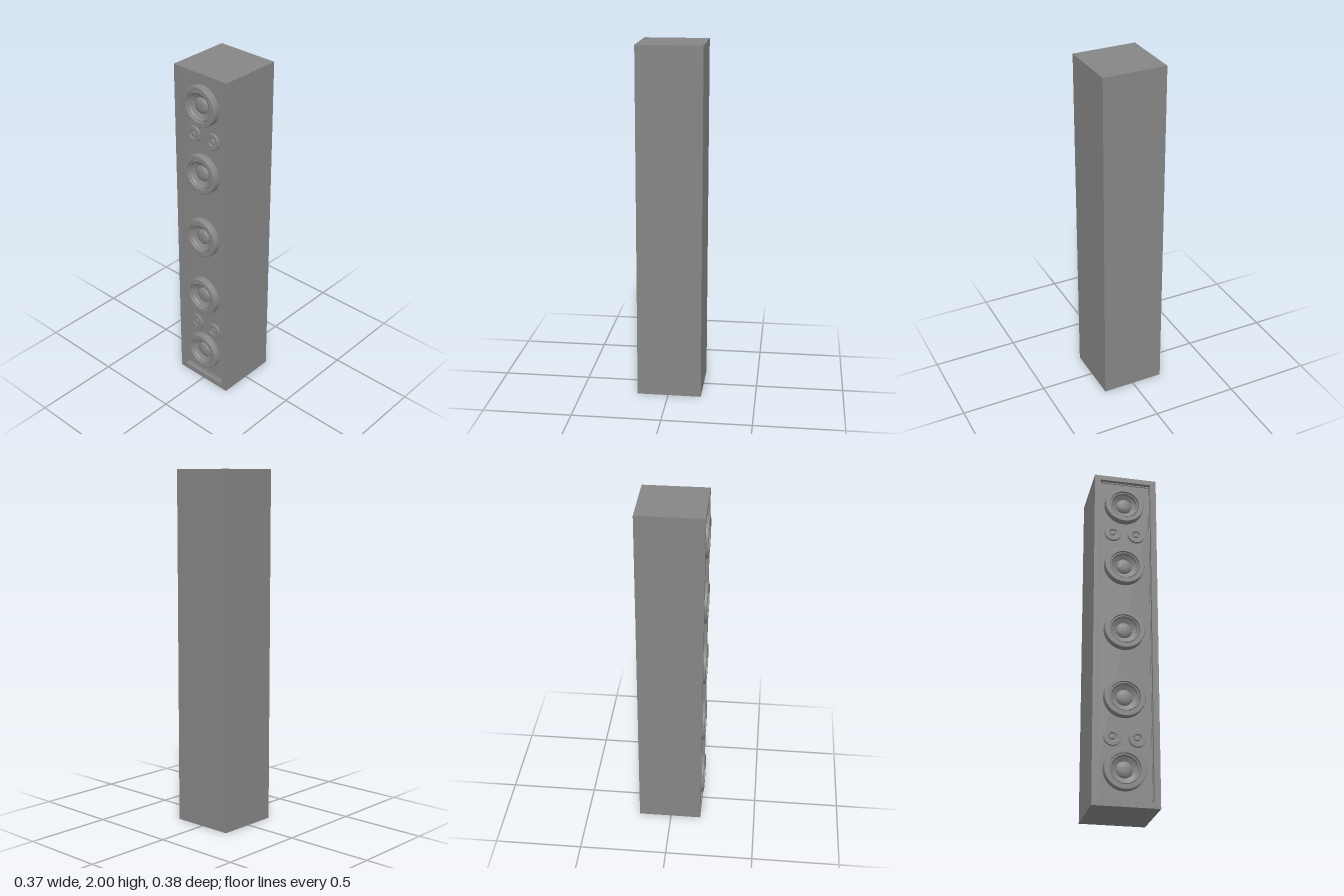
import * as THREE from 'three';
import { toCreasedNormals } from 'three/addons/utils/BufferGeometryUtils.js';

const W = 0.366, H = 2, BACK = -0.189, PANEL = 0.149, FRONT = 0.177;

export function createModel() {
  const model = new THREE.Group();
  const mat = new THREE.MeshStandardMaterial({ color: 0x868686 });

  const add = (name, geometry, x, y, z, parent = model) => {
    const mesh = new THREE.Mesh(geometry, mat);
    mesh.name = name;
    mesh.position.set(x, y, z);
    parent.add(mesh);
    return mesh;
  };

  // Turned part facing +z; profile runs from the outer base to the centre
  const turned = (profile, segments) => {
    const points = profile.map(([r, z]) => new THREE.Vector2(r, z));
    const g = new THREE.LatheGeometry(points, segments).rotateX(Math.PI / 2);
    return toCreasedNormals(g, 0.5);
  };

  // Shallow dome profile from radius r at height z, rising by h
  const dome = (r, z, h, steps = 7) =>
    Array.from({ length: steps + 1 }, (_, i) => {
      const a = (i / steps) * Math.PI / 2;
      return [i === steps ? 0 : r * Math.cos(a), z + h * Math.sin(a)];
    });

  // Cabinet body, its front face forming the recessed baffle
  add('cabinet', new THREE.BoxGeometry(W, H, PANEL - BACK), 0, H / 2, (PANEL + BACK) / 2);

  // Rectangular frames standing on the baffle: outer and inner [half width, bottom, top]
  const rect = (path, [x, y0, y1]) => {
    path.moveTo(-x, y0);
    path.lineTo(x, y0);
    path.lineTo(x, y1);
    path.lineTo(-x, y1);
    path.closePath();
    return path;
  };
  const addFrame = (name, outer, inner, depth) => {
    const shape = rect(new THREE.Shape(), outer);
    shape.holes.push(rect(new THREE.Path(), inner));
    add(name, new THREE.ExtrudeGeometry(shape, { depth, bevelEnabled: false }), 0, 0, PANEL);
  };
  const opening = [0.149, 0.034, 1.97];
  addFrame('frontFrame', [W / 2, 0, H], opening, FRONT - PANEL);
  addFrame('innerTrim', opening, [0.144, 0.041, 1.964], 0.006);

  // Woofers: rim, rolled surround, cone and dust cap
  const wooferRim = turned([
    [0.114, 0], [0.114, 0.034], [0.113, 0.037], [0.110, 0.039],
    [0.086, 0.039], [0.083, 0.028],
  ], 48);
  const wooferCone = turned([
    [0.083, 0.028], [0.081, 0.031], [0.078, 0.032], [0.075, 0.031], [0.072, 0.028],
    [0.069, 0.020], [0.045, 0.007],
  ], 48);
  const dustCap = turned(dome(0.046, 0.007, 0.017), 40);
  for (const y of [1.812, 1.411, 1.008, 0.608, 0.204]) {
    const woofer = new THREE.Group();
    woofer.name = 'woofer';
    woofer.position.set(-0.007, y, PANEL);
    add('wooferRim', wooferRim, 0, 0, 0, woofer);
    add('wooferCone', wooferCone, 0, 0, 0, woofer);
    add('dustCap', dustCap, 0, 0, 0, woofer);
    model.add(woofer);
  }

  // Tweeters: small flange with a stepped throat and dome
  const flange = turned([
    [0.048, 0], [0.048, 0.011], [0.046, 0.013], [0.025, 0.013], [0.023, 0.007], [0.013, 0.004],
  ], 36);
  const tweeterDome = turned(dome(0.016, 0.004, 0.009, 5), 24);
  for (const y of [1.626, 0.381]) {
    for (const side of [-1, 1]) {
      const tweeter = new THREE.Group();
      tweeter.name = 'tweeter';
      tweeter.position.set(-0.002 + side * 0.068, y, PANEL);
      add('tweeterFlange', flange, 0, 0, 0, tweeter);
      add('tweeterDome', tweeterDome, 0, 0, 0, tweeter);
      model.add(tweeter);
    }
  }

  return model;
}
